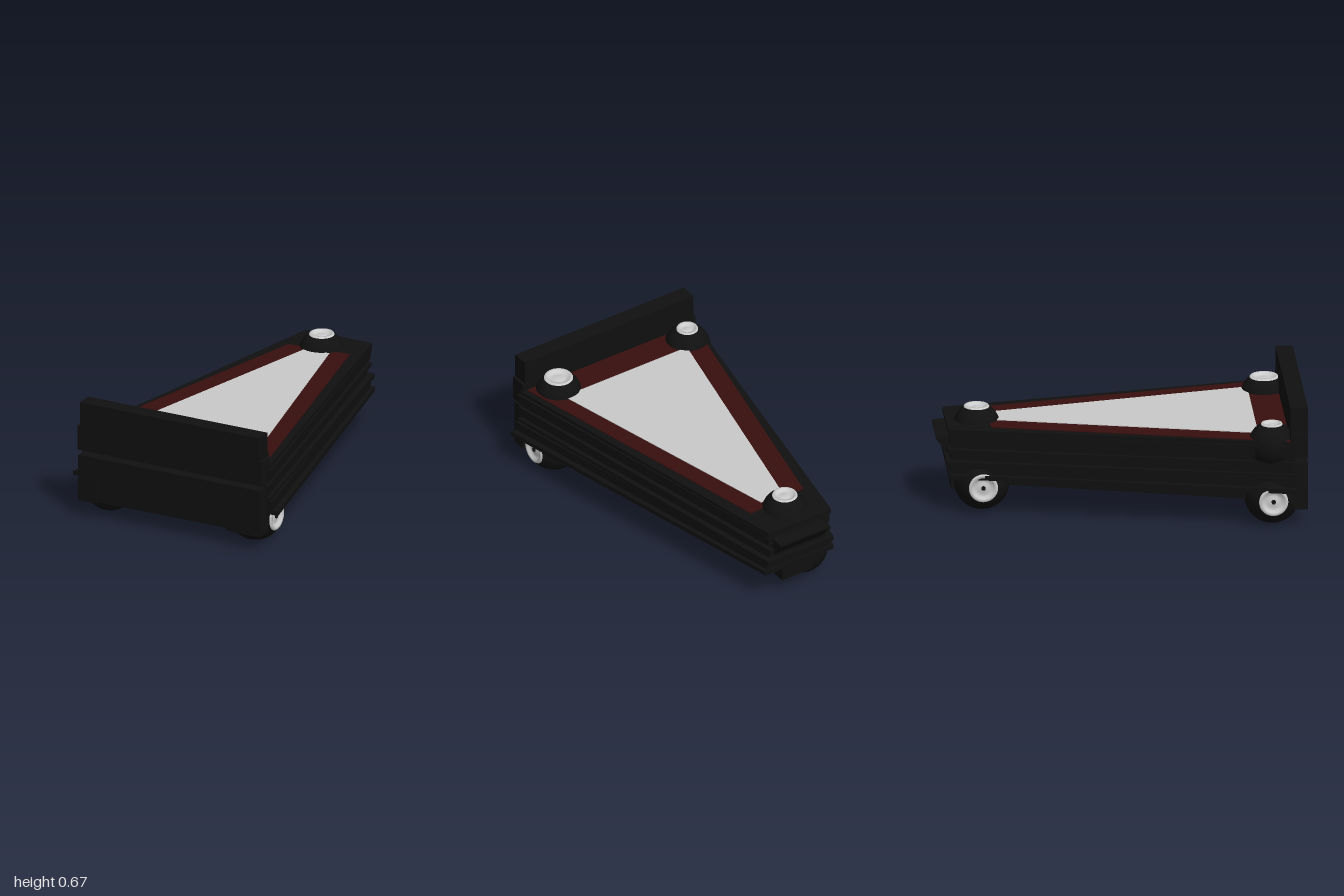
import * as THREE from 'three';

const black = new THREE.MeshStandardMaterial({ color: 0x101010, name: 'black' });
const red = new THREE.MeshStandardMaterial({ color: 0x380e0e, name: 'darkRed' });
const white = new THREE.MeshStandardMaterial({ color: 0xcbcbcb, name: 'paleGrey' });

export function createModel() {
  const model = new THREE.Group();
  model.name = 'wedgePlatform';

  const add = (name, geometry, material, parent = model) => {
    const mesh = new THREE.Mesh(geometry, material);
    mesh.name = name;
    parent.add(mesh);
    return mesh;
  };
  const box = (name, x0, x1, y0, y1, z0, z1) => {
    add(name, new THREE.BoxGeometry(x1 - x0, y1 - y0, z1 - z0), black)
      .position.set((x0 + x1) / 2, (y0 + y1) / 2, (z0 + z1) / 2);
  };
  // Upright prism over a footprint of [x, z] corners
  const prism = (corners, y0, y1) => {
    const shape = new THREE.Shape(corners.map(([x, z]) => new THREE.Vector2(x, -z)));
    return new THREE.ExtrudeGeometry(shape, { depth: y1 - y0, bevelEnabled: false })
      .rotateX(-Math.PI / 2).translate(0, y0, 0);
  };
  const wedge = (front, back, zFront, zBack) =>
    [[-front, zFront], [front, zFront], [back, zBack], [-back, zBack]];

  // Underside tray, its floor rising slightly to the back
  const tray = prism(wedge(0.565, 0.17, 0.93, -0.9), 0.155, 0.22);
  const p = tray.attributes.position;
  for (let i = 0; i < p.count; i++) {
    if (p.getY(i) < 0.2) p.setY(i, 0.166 - 0.017 * p.getZ(i));
  }
  tray.computeVertexNormals();
  add('undersideTray', tray, black);

  // Stacked side layers: y0, y1, half width front, half width back, back z
  [
    [0.215, 0.24, 0.635, 0.225, -0.935],
    [0.24, 0.29, 0.6, 0.205, -0.925],
    [0.285, 0.31, 0.585, 0.215, -0.95],
    [0.31, 0.355, 0.565, 0.185, -0.925],
    [0.355, 0.375, 0.575, 0.2, -0.94],
    [0.375, 0.4, 0.555, 0.175, -0.92],
    [0.4, 0.45, 0.575, 0.2, -0.93],
    [0.45, 0.47, 0.59, 0.21, -0.925],
    [0.47, 0.49, 0.575, 0.205, -0.94],
  ].forEach(([y0, y1, front, back, z]) =>
    add('bodyLayer', prism(wedge(front, back, 0.93, z), y0, y1), black));

  // Wedge-shaped lip at the back
  const lipShape = new THREE.Shape([[0.9, 0.33], [0.94, 0.34], [1.0, 0.42], [1.0, 0.43], [0.9, 0.44]]
    .map(([z, y]) => new THREE.Vector2(z, y)));
  add('rearLip', new THREE.ExtrudeGeometry(lipShape, { depth: 0.32, bevelEnabled: false })
    .rotateY(Math.PI / 2).translate(-0.15, 0, 0), black);
  box('rearBumper', -0.1, 0.1, 0.12, 0.22, -0.915, -0.78);

  // Front wall
  box('frontWallTop', -0.555, 0.555, 0.54, 0.68, 0.905, 1);
  box('frontWallMiddle', -0.57, 0.57, 0.4, 0.54, 0.905, 1);
  box('frontWallLower', -0.565, 0.56, 0.26, 0.37, 0.92, 1);
  box('frontRecess', -0.45, 0.35, 0.11, 0.26, 0.92, 0.988);
  box('frontCheek', -0.565, -0.45, 0.105, 0.26, 0.92, 1);
  box('frontCheek', 0.35, 0.56, 0.1, 0.26, 0.92, 1);

  // Deck inlay
  add('deckBorder', prism([[-0.555, 0.905], [0.54, 0.905], [0.18, -0.73], [-0.185, -0.7]], 0.489, 0.494), red);
  add('deckPanel', prism([[-0.4, 0.74], [0.41, 0.74], [0.08, -0.68], [-0.065, -0.68]], 0.493, 0.498), white);

  // Ball with one flattened side holding a dished hub, facing +y
  const ball = (name, radius, hub, withBolt) => {
    const group = new THREE.Group();
    group.name = name;
    const end = Math.asin(hub / radius);
    const cut = radius * Math.cos(end);
    const arc = [];
    for (let i = 0; i <= 20; i++) {
      const a = Math.PI - (Math.PI - end) * i / 20;
      arc.push(new THREE.Vector2(Math.max(0, radius * Math.sin(a)), radius * Math.cos(a)));
    }
    add('ball', new THREE.LatheGeometry(arc, 36), black, group);
    const dish = [[1, 0], [0.94, 0.008], [0.76, 0.008], [0.66, -0.006], [0.4, -0.008], [0.3, -0.002], [0, -0.002]]
      .map(([r, h]) => new THREE.Vector2(r * hub, cut + h));
    add('hub', new THREE.LatheGeometry(dish, 36), white, group);
    if (withBolt) {
      add('bolt', new THREE.CylinderGeometry(0.012, 0.012, 0.008, 12), black, group).position.y = cut + 0.001;
    }
    model.add(group);
    return group;
  };

  // Wheels: x, y, z, side the hub faces
  [[0.43, 0.158, 0.81, 1], [-0.465, 0.16, 0.81, -1], [-0.13, 0.168, -0.75, -1]].forEach(([x, y, z, side]) => {
    const wheel = ball('wheel', 0.152, 0.08, true);
    wheel.position.set(x, y, z);
    wheel.rotation.z = -side * Math.PI / 2;
  });

  // Matching balls set into the deck corners, hubs up
  [[-0.45, 0.81, 0.06], [0.385, 0.83, 0.08], [-0.015, -0.77, 0.07]].forEach(([x, z, hub]) => {
    const cut = Math.sqrt(0.128 ** 2 - hub ** 2);
    ball('deckBall', 0.128, hub, false).position.set(x, 0.56 - cut, z);
  });

  return model;
}
